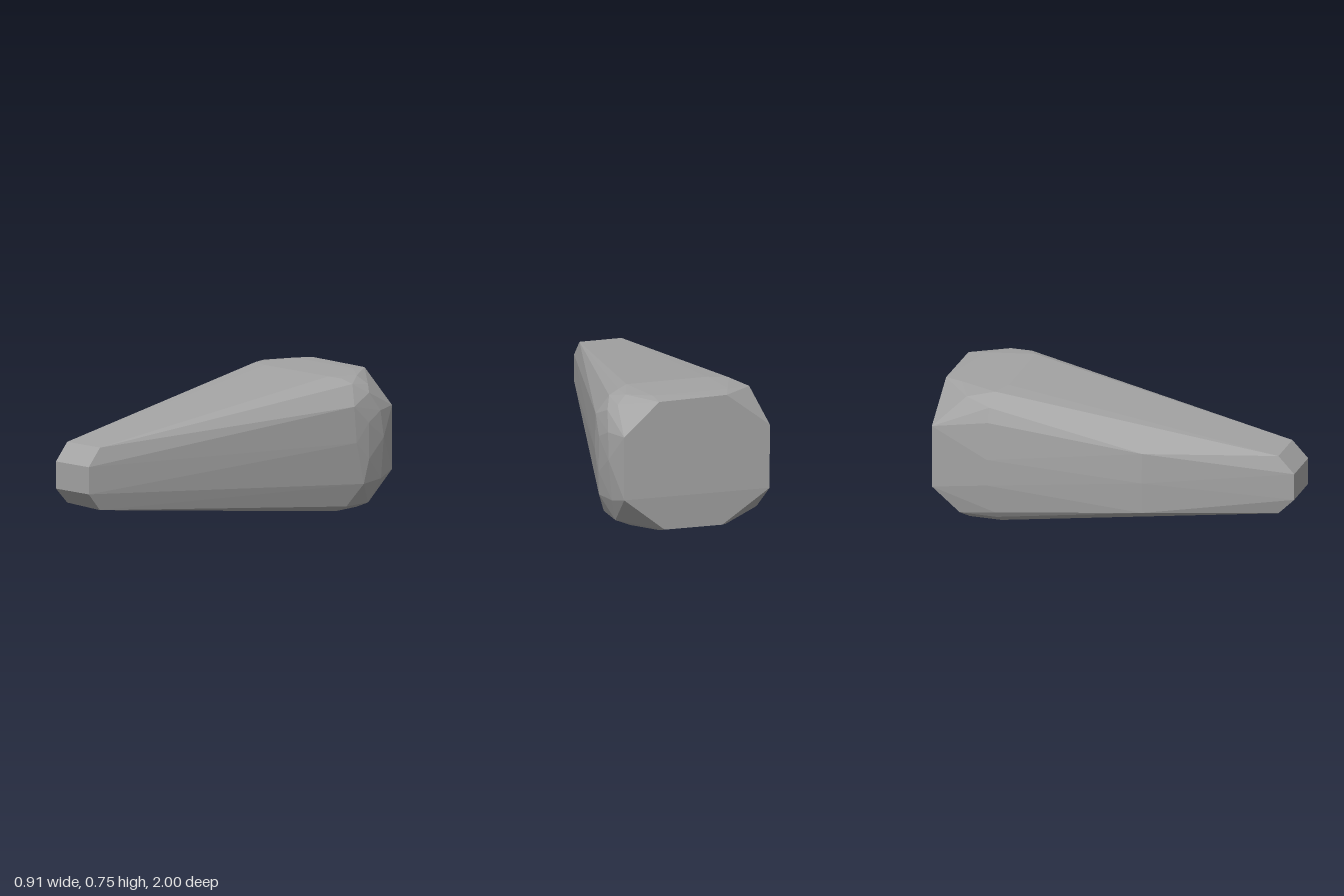
import * as THREE from 'three';
import { ConvexGeometry } from 'three/addons/geometries/ConvexGeometry.js';

export function createModel() {
  const group = new THREE.Group();
  group.name = 'facetedWedge';

  const stone = new THREE.MeshStandardMaterial({ color: 0xa3a3a3 });
  stone.name = 'grey stone';

  // blunt tip: small front face and the chamfer behind it, both between x = -0.24 and 0
  const tip = [];
  for (const x of [-0.24, 0]) {
    tip.push([x, 0.3, 1], [x, 0.45, 1], [x, 0.545, 0.91], [x, x < 0 ? 0.21 : 0.2, 0.91]);
  }

  // flat octagonal back face
  const back = [
    [-0.19, 0.74, -1], [0.195, 0.735, -1], [0.396, 0.553, -1], [0.396, 0.2, -1],
    [0.16, 0.01, -0.985], [-0.17, 0.008, -0.985], [-0.435, 0.195, -1], [-0.437, 0.55, -1],
  ];

  // flat side wall at -x with its slight bulge
  const leftWall = [
    [-0.445, 0.545, 0.2], [-0.445, 0.2, 0.2], [-0.452, 0.375, 0.2],
    [-0.457, 0.4, -0.68], [-0.455, 0.25, -0.68], [-0.44, 0.61, -0.68],
    [-0.415, 0.69, -0.68], [-0.38, 0.725, -0.82],
    [-0.435, 0.09, -0.64], [-0.412, 0.055, -0.64], [-0.412, 0.055, -0.85],
  ];

  // rounded shoulder at +x
  const rightShoulder = [
    [0.32, 0.735, -0.68], [0.32, 0.735, -0.8], [0.38, 0.71, -0.7], [0.375, 0.69, -0.83],
    [0.42, 0.655, -0.79], [0.44, 0.6, -0.65], [0.44, 0.55, -0.86],
    [0.455, 0.5, -0.75], [0.457, 0.3, -0.75], [0.448, 0.4, -0.66], [0.445, 0.4, -0.88],
    [0.445, 0.165, -0.72], [0.425, 0.17, -0.88], [0.39, 0.045, -0.64], [0.385, 0.04, -0.82],
  ];

  // flat top and underside of the thick end
  const topAndBottom = [
    [-0.31, 0.743, -0.68], [-0.2, 0.745, -0.64], [0.26, 0.745, -0.64], [0.2, 0.745, -0.9], [-0.23, 0.745, -0.9],
    [-0.33, 0.005, -0.64], [-0.33, 0.005, -0.82], [-0.24, 0, -0.63], [-0.2, 0, -0.95],
    [0.24, 0, -0.63], [0.3, 0.005, -0.65], [0.3, 0.005, -0.82], [0.18, 0, -0.95],
  ];

  // one convex faceted skin over all the corners
  const corners = [tip, back, leftWall, rightShoulder, topAndBottom].flat();
  const geometry = new ConvexGeometry(corners.map((p) => new THREE.Vector3(...p)));
  const body = new THREE.Mesh(geometry, stone);
  body.name = 'wedgeBody';
  group.add(body);

  return group;
}
